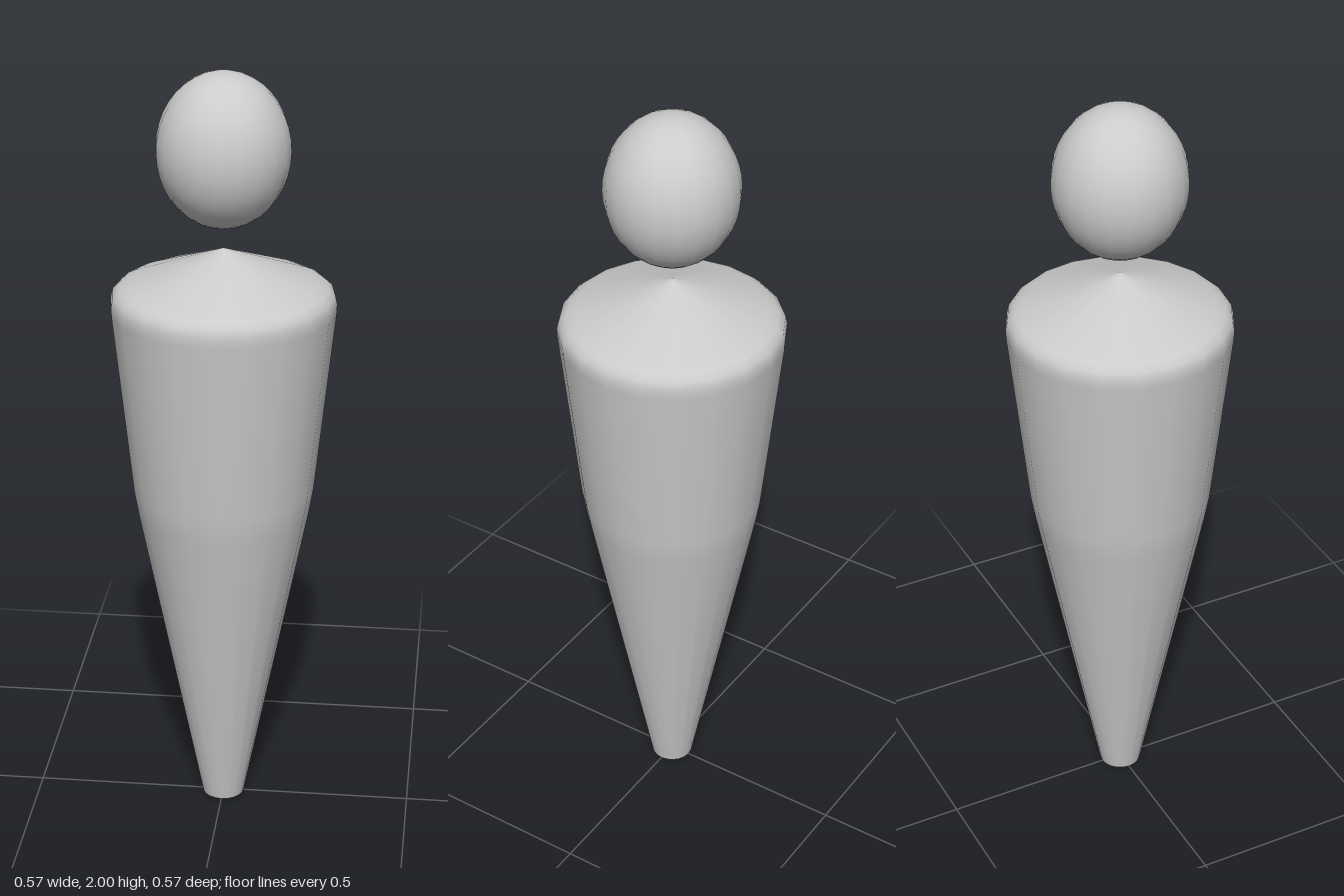
import * as THREE from 'three';

const SIDES = 20;

export function createModel() {
  const group = new THREE.Group();
  const material = new THREE.MeshStandardMaterial({ color: 0xcccccc });
  const add = (name, geometry) => {
    const mesh = new THREE.Mesh(geometry, material);
    mesh.name = name;
    group.add(mesh);
    return mesh;
  };

  // Tapered body with rounded shoulders and a shallow cone on top
  const profile = [
    [0.055, 0], [0.222, 0.84], [0.234, 0.91], [0.285, 1.39], [0.286, 1.415],
    [0.281, 1.436], [0.265, 1.451], [0.24, 1.462], [0, 1.553],
  ].map(([r, y]) => new THREE.Vector2(r, y));
  add('body', new THREE.LatheGeometry(profile, SIDES));

  // Flat underside, kept separate for a sharp edge
  add('base', new THREE.CircleGeometry(0.055, SIDES).rotateX(Math.PI / 2));

  // Floating egg-shaped head
  const head = add('head', new THREE.SphereGeometry(1, SIDES, SIDES));
  head.scale.set(0.168, 0.196, 0.168);
  head.position.y = 1.804;

  return group;
}
